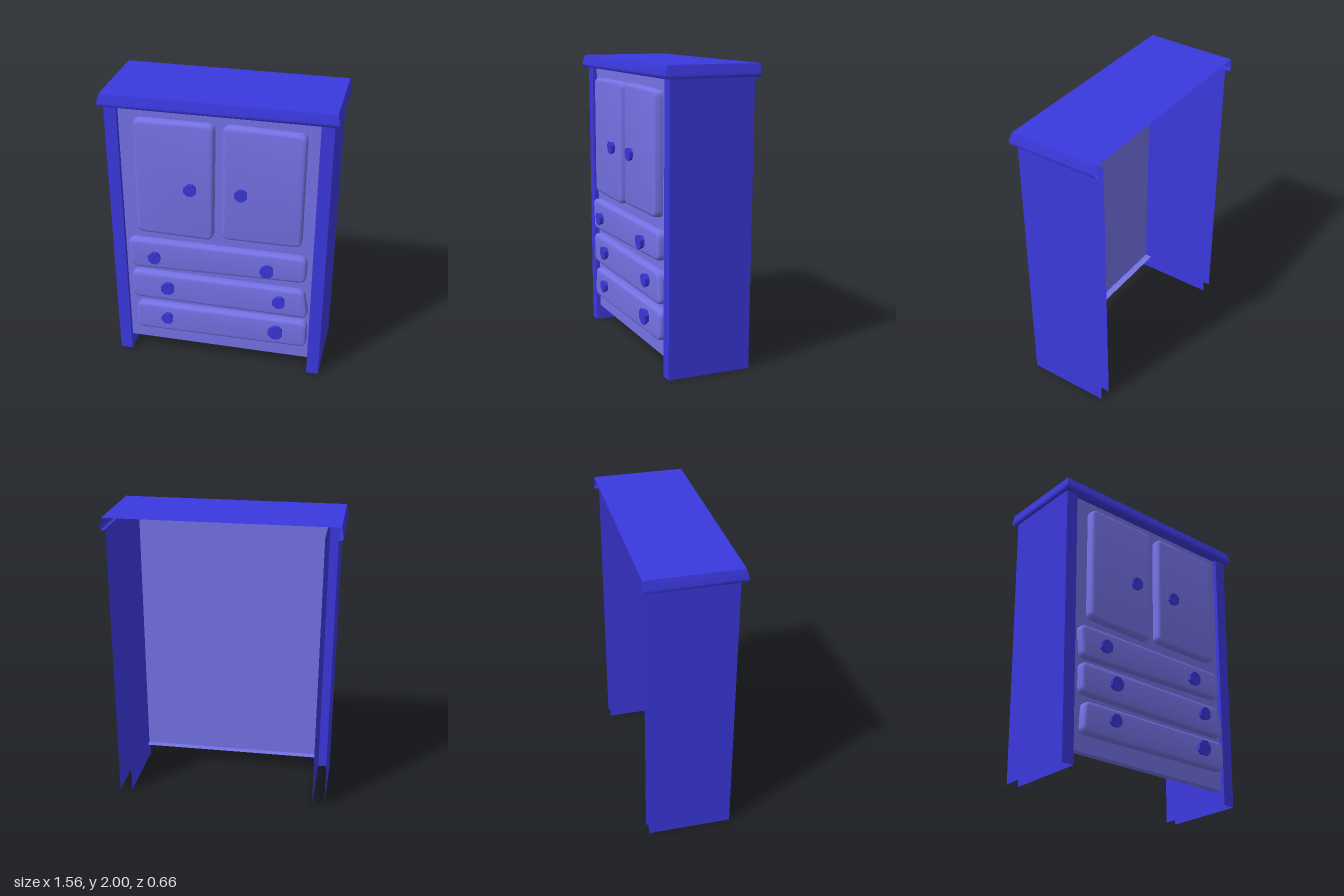
import * as THREE from 'three';
import { toCreasedNormals } from 'three/addons/utils/BufferGeometryUtils.js';

const darkBlue = new THREE.MeshStandardMaterial({ color: 0x3b38dd, side: THREE.DoubleSide });
const paleBlue = new THREE.MeshStandardMaterial({ color: 0x7572e6, side: THREE.DoubleSide });

// Sheet through rows of points; rows run bottom to top, points left to right
function sheet(rows, crease = 0.1) {
  const n = rows[0].length;
  const index = [];
  for (let r = 0; r < rows.length - 1; r++) {
    for (let c = 0; c < n - 1; c++) {
      const a = r * n + c, b = a + 1, d = a + n, e = d + 1;
      index.push(a, b, e, a, e, d);
    }
  }
  const geometry = new THREE.BufferGeometry();
  geometry.setAttribute('position', new THREE.Float32BufferAttribute(rows.flat(2), 3));
  geometry.setIndex(index);
  return toCreasedNormals(geometry, crease);
}

// Outline with four slightly rounded corners, listed counter-clockwise
function roundedQuad(corners, radius) {
  const pts = corners.map(([x, y]) => new THREE.Vector2(x, y));
  const shape = new THREE.Shape();
  pts.forEach((p, i) => {
    const before = pts[(i + 3) % 4], after = pts[(i + 1) % 4];
    const from = before.clone().sub(p).setLength(radius).add(p);
    const to = after.clone().sub(p).setLength(radius).add(p);
    if (i === 0) shape.moveTo(from.x, from.y);
    else shape.lineTo(from.x, from.y);
    shape.quadraticCurveTo(p.x, p.y, to.x, to.y);
  });
  shape.closePath();
  return shape;
}

export function createModel() {
  const group = new THREE.Group();
  const add = (name, geometry, material) => {
    const mesh = new THREE.Mesh(geometry, material);
    mesh.name = name;
    group.add(mesh);
    return mesh;
  };

  const back = -0.305, front = 0.27, bodyTop = 1.92;

  // Hollow side posts, open at the back and bottom, narrowing to the floor
  for (const [name, side] of [['leftSide', 1], ['rightSide', -1]]) {
    const level = (y, inner, outer) => {
      const xs = [side * inner, side * outer].sort((a, b) => a - b);
      return [[xs[0], y, back], [xs[0], y, front], [xs[1], y, front], [xs[1], y, back]];
    };
    add(name, sheet([level(0, 0.645, 0.73), level(bodyTop, 0.665, 0.75)]), darkBlue);
  }

  // Recessed front panel with folded lips at top and bottom
  const panelRows = [[0.646, 0.11, 0.19], [0.646, 0.11, 0.24], [0.665, bodyTop, 0.24], [0.665, bodyTop, 0.19]];
  add('frontPanel', sheet(panelRows.map(([x, y, z]) => [[-x, y, z], [x, y, z]])), paleBlue);

  // Cornice wrapping the front and sides, hollow underneath
  const corniceLevels = [
    [0.75, 1.92, 0.24],
    [0.773, 1.915, 0.30],
    [0.781, 1.927, 0.31],
    [0.78, 1.94, 0.31],
    [0.767, 2.0, 0.294],
  ];
  add('cornice', sheet(corniceLevels.map(([x, y, z]) =>
    [[-x, y, -0.333], [-x, y, z], [x, y, z], [x, y, -0.333]]), 0.8), darkBlue);
  add('top', sheet([
    [[-0.767, 2, 0.294], [0.767, 2, 0.294]],
    [[-0.767, 2, -0.333], [0.767, 2, -0.333]],
  ]), darkBlue);

  // Doors and drawers: soft-edged, slightly crooked slabs
  const bevel = 0.02;
  const slab = (name, corners, face) => {
    const cx = corners.reduce((s, p) => s + p[0], 0) / 4;
    const cy = corners.reduce((s, p) => s + p[1], 0) / 4;
    const inset = corners.map(([x, y]) => [x - Math.sign(x - cx) * bevel, y - Math.sign(y - cy) * bevel]);
    const geometry = new THREE.ExtrudeGeometry(roundedQuad(inset, 0.025), {
      depth: face - bevel - 0.242, bevelThickness: bevel, bevelSize: bevel, bevelSegments: 3, curveSegments: 4,
    });
    // Flatten the rear bevel so the slab meets the panel squarely
    const p = geometry.attributes.position;
    for (let i = 0; i < p.count; i++) p.setZ(i, Math.max(p.getZ(i), 0));
    geometry.translate(0, 0, 0.242);
    add(name, toCreasedNormals(geometry, 0.9), paleBlue);
  };
  slab('rightDoor', [[-0.55, 1.02], [-0.025, 1.01], [-0.012, 1.845], [-0.552, 1.845]], 0.3);
  slab('leftDoor', [[0.035, 1.03], [0.575, 1.03], [0.585, 1.835], [0.045, 1.85]], 0.3);
  slab('upperDrawer', [[-0.605, 0.73], [0.615, 0.755], [0.615, 0.945], [-0.625, 0.95]], 0.295);
  slab('middleDrawer', [[-0.608, 0.48], [0.638, 0.472], [0.61, 0.682], [-0.61, 0.692]], 0.295);
  slab('lowerDrawer', [[-0.592, 0.22], [0.635, 0.23], [0.635, 0.432], [-0.582, 0.432]], 0.295);

  // Eight-sided knobs: x, y, radius
  const knobs = [
    [-0.17, 1.387, 0.046], [0.17, 1.387, 0.046],
    [-0.433, 0.832, 0.047], [0.352, 0.832, 0.05],
    [-0.345, 0.595, 0.05], [0.44, 0.595, 0.047],
    [-0.353, 0.343, 0.045], [0.422, 0.343, 0.056],
  ];
  for (const [x, y, radius] of knobs) {
    const geometry = new THREE.CylinderGeometry(radius, radius * 0.8, 0.04, 8);
    geometry.rotateY(Math.PI / 8);
    geometry.rotateX(Math.PI / 2 + 0.06);
    add('knob', toCreasedNormals(geometry, 0.3), darkBlue).position.set(x, y, 0.308);
  }

  return group;
}
